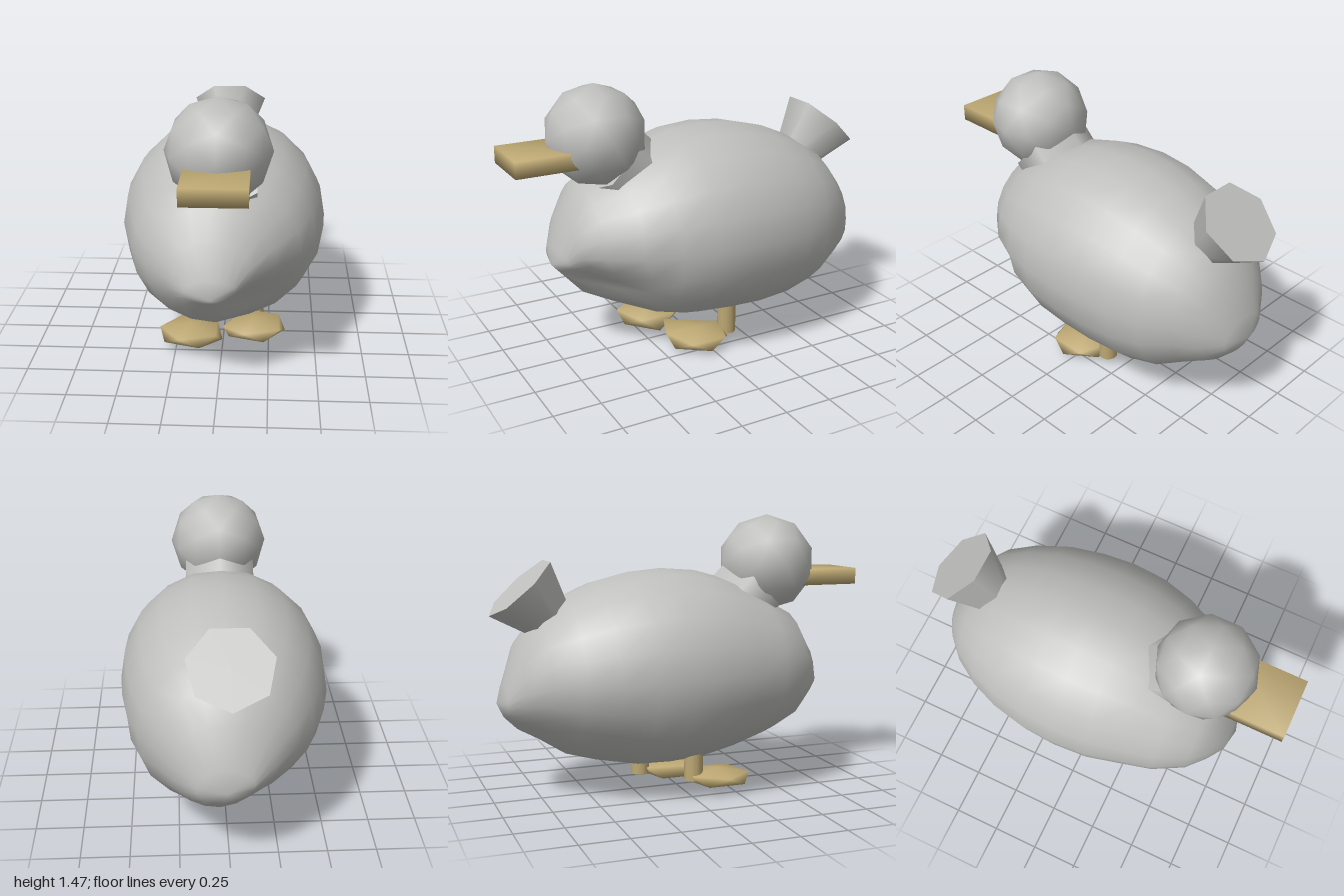
import * as THREE from 'three';
import { mergeVertices } from 'three/addons/utils/BufferGeometryUtils.js';

const feather = new THREE.MeshStandardMaterial({ name: 'featherGrey', color: 0xbfbfbd });
const horn = new THREE.MeshStandardMaterial({ name: 'hornTan', color: 0xbda873 });
const ramp = (value, range) => THREE.MathUtils.clamp(value / range, 0, 1);

function add(group, name, geometry, material, x = 0, y = 0, z = 0) {
  const mesh = new THREE.Mesh(geometry, material);
  mesh.name = name;
  mesh.position.set(x, y, z);
  group.add(mesh);
  return mesh;
}

// Share corners so the shading runs smoothly over every edge
function smooth(geometry) {
  geometry.deleteAttribute('normal');
  geometry.deleteAttribute('uv');
  const merged = mergeVertices(geometry, 1e-4);
  merged.computeVertexNormals();
  return merged;
}

// Egg-shaped body lofted from oval sections: [z, top, bottom, half width, centre x]
function bodyGeometry() {
  const sections = [
    [0.78, 0.54, 0.54, 0, -0.03], [0.758, 0.63, 0.515, 0.13, -0.03], [0.7, 0.8, 0.45, 0.215, -0.04],
    [0.61, 0.95, 0.35, 0.32, -0.035], [0.45, 1.04, 0.27, 0.425, -0.015], [0.28, 1.125, 0.21, 0.485, 0],
    [0.1, 1.175, 0.17, 0.53, 0], [-0.09, 1.19, 0.155, 0.542, 0], [-0.27, 1.175, 0.15, 0.53, 0],
    [-0.45, 1.13, 0.175, 0.495, 0.005], [-0.61, 1.06, 0.22, 0.435, 0.01], [-0.75, 0.97, 0.31, 0.35, 0.015],
    [-0.86, 0.83, 0.37, 0.245, 0.025], [-0.93, 0.62, 0.44, 0.14, 0.02], [-0.97, 0.52, 0.52, 0, 0.01],
  ];
  const sides = 20;
  const last = sections.length - 1;
  const positions = [];
  const index = [];
  sections.forEach(([z, top, bottom, width, cx], i) => {
    for (let j = 0; j < sides; j++) {
      const a = (j / sides) * Math.PI * 2;
      const x = cx + width * Math.sin(a);
      const y = (top + bottom) / 2 + (top - bottom) / 2 * Math.cos(a);
      // The low left of the breast is flattened, the low rear leans to the left
      const breast = ramp(z - 0.25, 0.3) * ramp(x, 0.15) * ramp(0.65 - y, 0.2);
      const rump = ramp(-z - 0.2, 0.3) * ramp(0.6 - y, 0.2);
      positions.push(x - 0.03 * breast + 0.025 * rump, y + 0.025 * rump * ramp(-x, 0.15), z - 0.12 * breast);
      if (i === last) continue;
      const A = i * sides + j, B = i * sides + (j + 1) % sides, C = A + sides, D = B + sides;
      if (i > 0) index.push(A, B, C);
      if (i < last - 1) index.push(B, D, C);
    }
  });
  const geometry = new THREE.BufferGeometry();
  geometry.setAttribute('position', new THREE.Float32BufferAttribute(positions, 3));
  geometry.setIndex(index);
  return smooth(geometry);
}

// Flattened twenty-sided foot whose inner corner is pulled to tipY, tipZ
function footGeometry(inner, tipY, tipZ) {
  const geometry = new THREE.IcosahedronGeometry(1, 0);
  geometry.rotateZ(Math.PI / 2 - Math.atan((1 + Math.sqrt(5)) / 2)).scale(0.19, 0.048, 0.19);
  const p = geometry.attributes.position;
  for (let i = 0; i < p.count; i++) {
    if (p.getX(i) * inner > 0.16) p.setXYZ(i, p.getX(i), tipY, tipZ);
  }
  return smooth(geometry);
}

export function createModel() {
  const model = new THREE.Group();
  model.name = 'duck';

  add(model, 'body', bodyGeometry(), feather);

  // Head on a short six-sided neck that leans forward
  add(model, 'head', smooth(new THREE.IcosahedronGeometry(0.262, 1)), feather, 0, 1.206, 0.527);
  const neck = add(model, 'neck', new THREE.CylinderGeometry(0.213, 0.213, 0.24, 6), feather, 0, 0.985, 0.36);
  neck.rotation.x = Math.PI / 4;

  // Flat beak
  add(model, 'beak', smooth(new THREE.BoxGeometry(0.31, 0.087, 0.36)), horn, 0, 1.13, 0.82);

  // Seven-sided tail flaring up and back
  const tail = add(model, 'tail',
    new THREE.CylinderGeometry(0.212, 0.08, 0.35, 7, 1, false, Math.PI), feather, 0, 0.983, -0.725);
  tail.rotation.x = -0.735;

  // Walking pose: the left leg trails the right
  const steps = [
    { side: 'left', x: 0.17, footY: 0.049, footZ: 0.035, legZ: -0.15, legBottom: 0.035, foot: footGeometry(-1, 0.048, 0.12) },
    { side: 'right', x: -0.17, footY: 0.078, footZ: 0.175, legZ: 0.037, legBottom: 0.07, foot: footGeometry(1, -0.048, 0) },
  ];
  for (const s of steps) {
    const height = 0.32 - s.legBottom;
    add(model, s.side + 'Leg', new THREE.CylinderGeometry(0.05, 0.05, height, 12),
      horn, s.x, s.legBottom + height / 2, s.legZ);
    add(model, s.side + 'Foot', s.foot, horn, s.x, s.footY, s.footZ);
  }

  return model;
}
